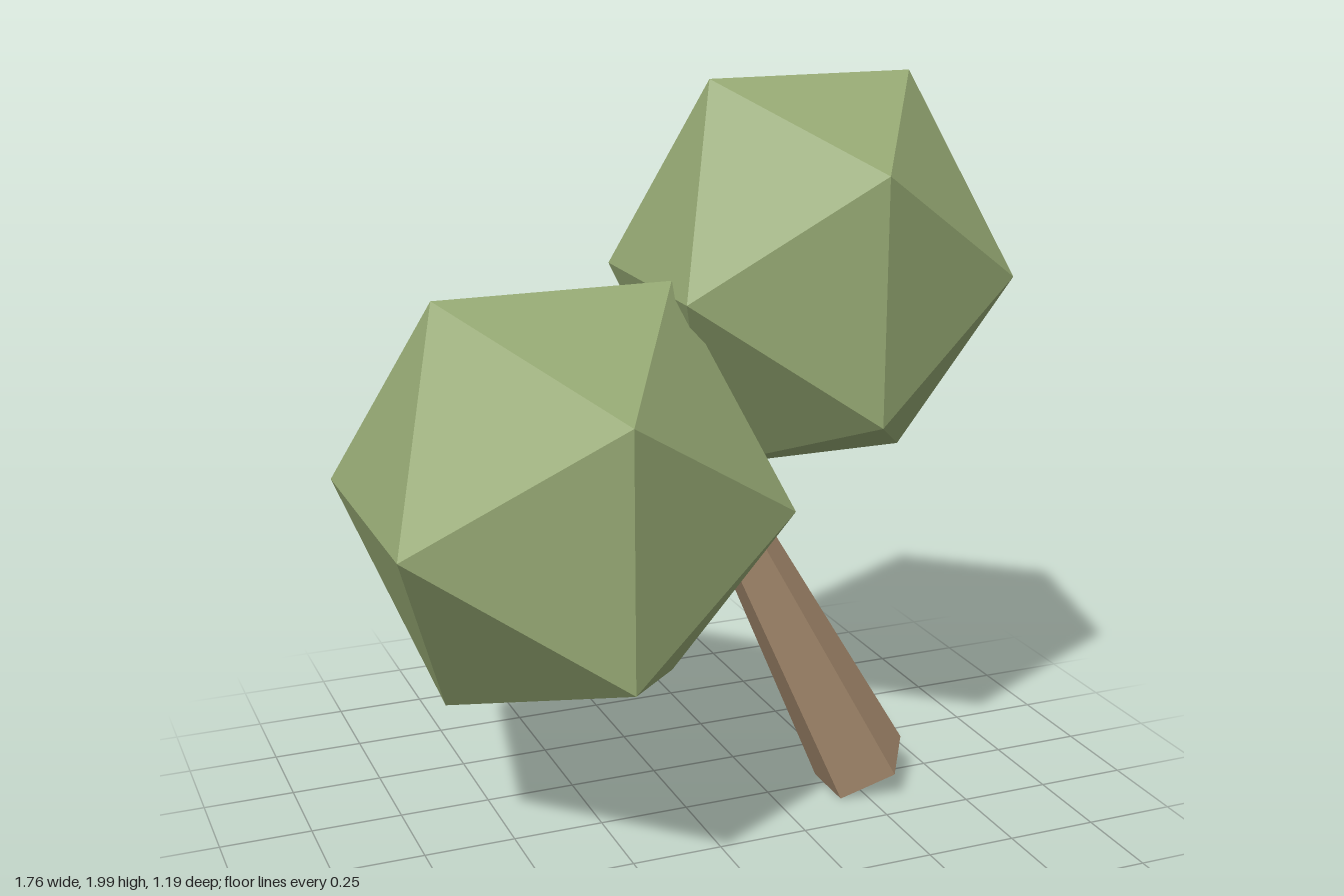
import * as THREE from 'three';

export function createModel() {
  const tree = new THREE.Group();
  tree.name = 'tree';

  const leafGreen = new THREE.MeshStandardMaterial({ color: 0x95a873, flatShading: true });
  leafGreen.name = 'leafGreen';
  const barkBrown = new THREE.MeshStandardMaterial({ color: 0xa98d70, flatShading: true });
  barkBrown.name = 'barkBrown';

  // Leaning five-sided trunk, tapering up into the lower foliage
  const length = 1.1, tilt = 0.471;
  const trunkShape = new THREE.CylinderGeometry(0.06, 0.142, length, 5, 1, false, Math.PI / 2);
  trunkShape.translate(0, length / 2, 0); // pivot at the base
  const trunk = new THREE.Mesh(trunkShape, barkBrown);
  trunk.name = 'trunk';
  trunk.position.set(0.527, 0.058, 0.03);
  trunk.rotation.z = tilt;
  tree.add(trunk);

  // Foliage clumps: stretched icosahedra given by centre and half extents
  const golden = (1 + Math.sqrt(5)) / 2;
  const reach = golden / Math.hypot(1, golden); // half extent of a unit icosahedron
  const addFoliage = (name, centre, half) => {
    const clump = new THREE.Mesh(new THREE.IcosahedronGeometry(1, 0), leafGreen);
    clump.name = name;
    clump.position.set(...centre);
    clump.scale.set(...half.map((h) => h / reach));
    tree.add(clump);
  };
  addFoliage('lowerFoliage', [-0.367, 0.977, 0.025], [0.513, 0.537, 0.57]);
  addFoliage('upperFoliage', [0.408, 1.477, -0.132], [0.469, 0.523, 0.467]);

  return tree;
}
